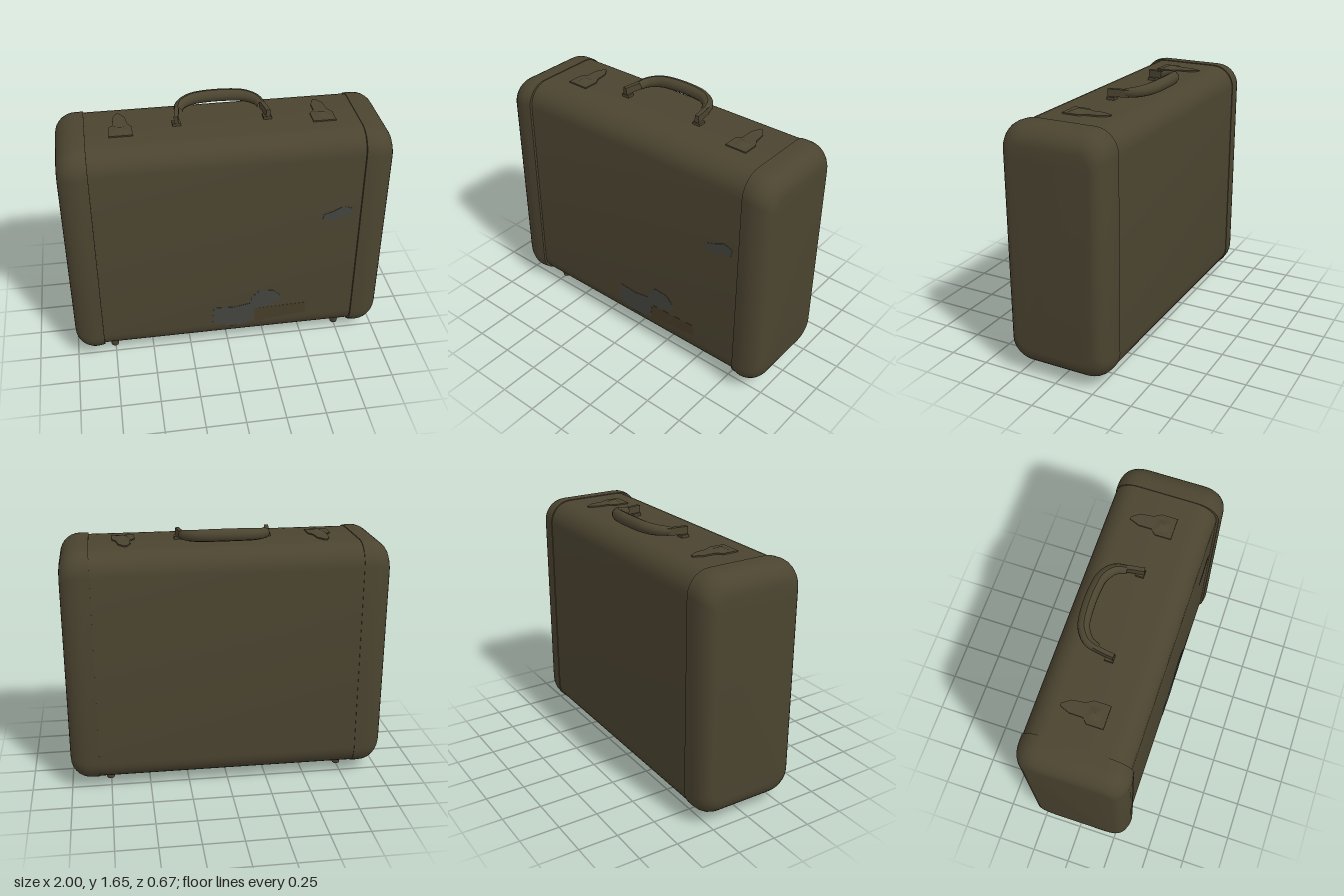
import * as THREE from 'three';
import { toCreasedNormals } from 'three/addons/utils/BufferGeometryUtils.js';

const mat = (name, color) => {
  const m = new THREE.MeshStandardMaterial({ color });
  m.name = name;
  return m;
};

// Rounded rectangle in the yz plane, anticlockwise seen from +x
function ring([x, y0, y1, z0, z1, r]) {
  const pts = [], n = 7;
  const corners = [[z0 + r, y1 - r], [z1 - r, y1 - r], [z1 - r, y0 + r], [z0 + r, y0 + r]];
  corners.forEach(([z, y], c) => {
    for (let i = 0; i <= n; i++) {
      const a = (c + i / n) * Math.PI / 2;
      pts.push([x, y + r * Math.sin(a), z - r * Math.cos(a)]);
    }
  });
  return pts;
}

// Closed skin through rounded rectangles ordered by rising x
function loft(stations) {
  const rings = stations.map(ring), n = rings[0].length, pos = rings.flat(2), idx = [];
  for (let i = 0; i < rings.length - 1; i++) {
    for (let j = 0; j < n; j++) {
      const a = i * n + j, b = i * n + (j + 1) % n;
      idx.push(a, b, a + n, b, b + n, a + n);
    }
  }
  const last = (rings.length - 1) * n;
  for (let j = 1; j < n - 1; j++) idx.push(0, j + 1, j, last, last + j, last + j + 1);
  const g = new THREE.BufferGeometry();
  g.setAttribute('position', new THREE.Float32BufferAttribute(pos, 3));
  g.setIndex(idx);
  return toCreasedNormals(g, 0.6);
}

// Thin plate cut from an outline
function plate(points, depth) {
  const shape = new THREE.Shape(points.map(([x, y]) => new THREE.Vector2(x, y)));
  return new THREE.ExtrudeGeometry(shape, { depth, bevelEnabled: false });
}

// Tube whose radius narrows toward both ends
function taperedTube(curve, radius, taper) {
  const segs = 28, sides = 10;
  const g = new THREE.TubeGeometry(curve, segs, radius, sides, false);
  const p = g.attributes.position, v = new THREE.Vector3();
  for (let i = 0; i <= segs; i++) {
    const c = curve.getPointAt(i / segs);
    const s = 1 - taper * Math.pow(Math.abs(2 * i / segs - 1), 3);
    for (let j = 0; j <= sides; j++) {
      const k = i * (sides + 1) + j;
      v.fromBufferAttribute(p, k).sub(c).multiplyScalar(s).add(c);
      p.setXYZ(k, v.x, v.y, v.z);
    }
  }
  g.computeVertexNormals();
  return g;
}

export function createModel() {
  const model = new THREE.Group();
  model.name = 'suitcase';
  const leather = mat('olive leather', 0x4b4430);
  const worn = mat('worn grey', 0x43443f);
  const brown = mat('brown patch', 0x463d28);
  const add = (name, geo, material, x = 0, y = 0, z = 0) => {
    const m = new THREE.Mesh(geo, material);
    m.name = name;
    m.position.set(x, y, z);
    model.add(m);
    return m;
  };

  // Main shell
  add('shell', loft([
    [-0.86, 0.06, 1.547, -0.333, 0.31, 0.14],
    [0.86, 0.06, 1.547, -0.333, 0.31, 0.14],
  ]), leather);

  // Rounded end caps, slightly proud of the shell
  const end = [[0.82, 0.058, 1.552, -0.337, 0.325, 0.14]];
  for (let i = 0; i <= 7; i++) {
    const t = i / 7 * Math.PI / 2, k = 1 - Math.cos(t);
    end.push([0.87 + 0.13 * Math.sin(t), 0.058 + 0.12 * k, 1.552 - 0.12 * k,
      -0.337 + 0.085 * k, 0.335 - 0.085 * k, 0.14 - 0.06 * k]);
  }
  add('leftEndCap', loft(end), leather);
  add('rightEndCap', loft(end.map(([x, ...rest]) => [-x, ...rest]).reverse()), leather);

  // Grip lying toward the back
  const grip = new THREE.CatmullRomCurve3([
    [-0.255, 1.59, -0.08], [-0.235, 1.597, -0.14], [-0.17, 1.605, -0.19], [-0.08, 1.609, -0.207],
    [0.08, 1.609, -0.207], [0.17, 1.605, -0.19], [0.235, 1.597, -0.14], [0.255, 1.59, -0.08],
  ].map(p => new THREE.Vector3(...p)));
  add('handleGrip', taperedTube(grip, 0.038, 0.3), leather);

  const latch = [[-0.07, -0.1], [0.07, -0.1], [0.07, 0], [0.045, 0.04], [0.035, 0.12],
    [0, 0.17], [-0.015, 0.17], [-0.04, 0.11], [-0.04, 0.03], [-0.07, 0]];
  for (const s of [-1, 1]) {
    const side = s > 0 ? 'left' : 'right';

    // Straps and mounts joining the grip to the shell
    const link = add(side + 'HandleLink', new THREE.BoxGeometry(0.026, 0.045, 0.13), leather, s * 0.268, 1.588, -0.04);
    link.rotation.y = s * 0.15;
    add(side + 'HandleMount', new THREE.BoxGeometry(0.05, 0.022, 0.05), leather, s * 0.275, 1.553, 0);

    // Latch plate with a raised clasp
    const l = add(side + 'Latch', plate(latch, 0.009), leather, s * 0.61, 1.546, 0);
    l.rotation.x = -Math.PI / 2;
    const clasp = add(side + 'Clasp', new THREE.ConeGeometry(0.055, 0.02, 4), leather, s * 0.61, 1.563, 0.03);
    clasp.scale.z = 1.4;
    clasp.rotation.y = Math.PI / 4;

    // Two feet and their base plate at each end
    add(side + 'BasePlate', new THREE.BoxGeometry(0.16, 0.008, 0.2), leather, s * 0.69, 0.058, 0.02);
    for (const z of [0.18, -0.14]) {
      add(side + 'Foot', new THREE.CylinderGeometry(0.032, 0.025, 0.065, 8), leather, s * 0.755, 0.0325, z);
    }
  }

  // Ridge along the underside
  add('bottomSeam', new THREE.BoxGeometry(1.6, 0.008, 0.012), leather, 0, 0.058, 0.02);

  // Worn patches on the front
  add('lowerWornPatch', plate([[-0.11, 0.2], [-0.04, 0.19], [0.02, 0.17], [0.11, 0.18], [0.16, 0.22],
    [0.17, 0.3], [0.24, 0.31], [0.34, 0.35], [0.34, 0.39], [0.29, 0.44], [0.2, 0.45], [0.15, 0.4],
    [0.14, 0.35], [0.03, 0.33], [-0.1, 0.34]], 0.003), worn, 0, 0, 0.309);
  add('upperWornPatch', plate([[0.58, 0.97], [0.66, 0.96], [0.7, 0.99], [0.76, 0.99], [0.77, 1.04],
    [0.71, 1.06], [0.65, 1.03], [0.59, 1.01]], 0.003), worn, 0, 0, 0.309);
  add('brownPatch', plate([[0.17, 0.19], [0.51, 0.23], [0.51, 0.31], [0.17, 0.3]], 0.002), brown, 0, 0, 0.309);

  return model;
}
